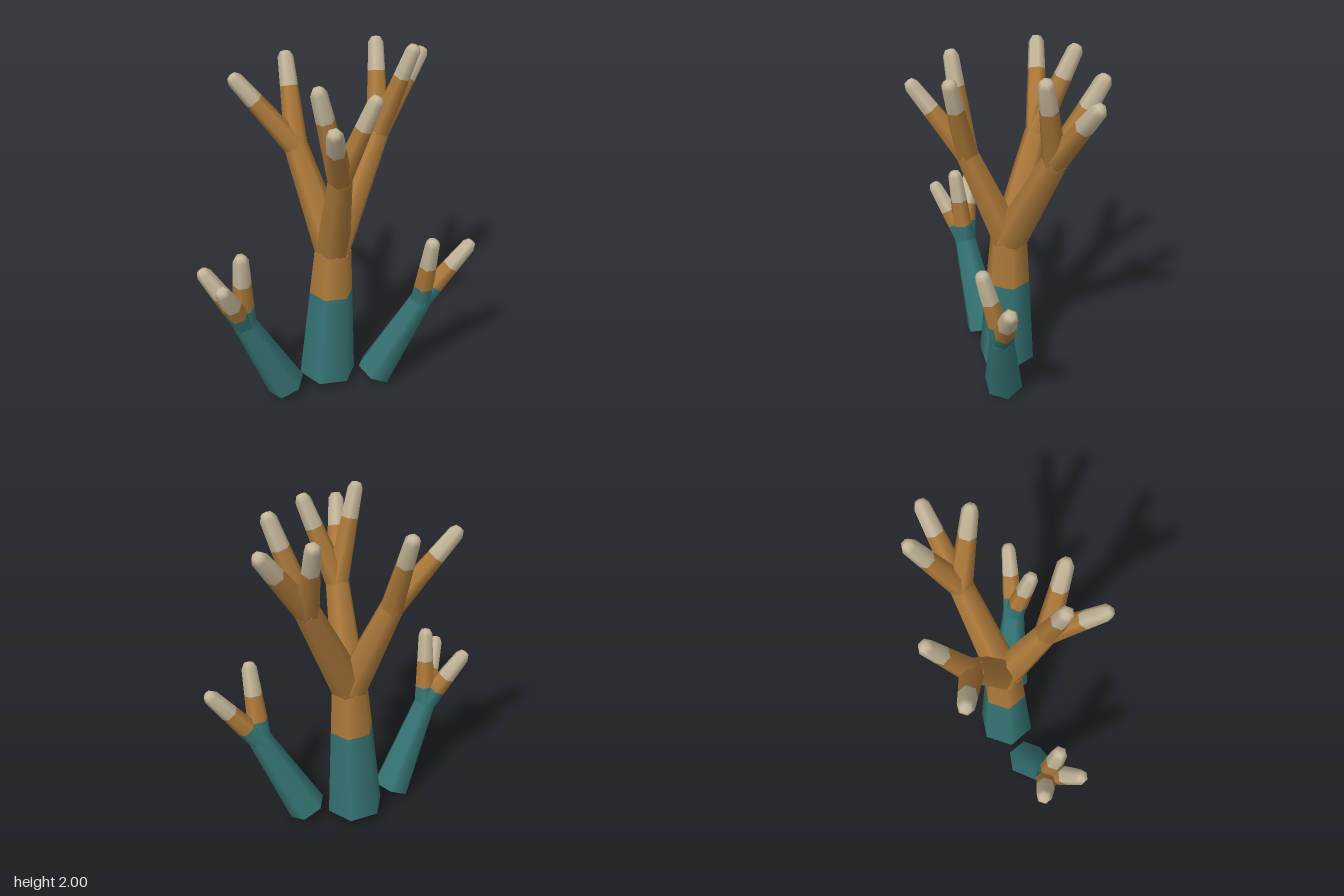
import * as THREE from 'three';

const SIDES = 6;
const UP = new THREE.Vector3(0, 1, 0);
const paint = (color) => new THREE.MeshStandardMaterial({ color, roughness: 0.9 });
const V = (p) => new THREE.Vector3(...p);

export function createModel() {
  const teal = paint(0x367474);
  const brown = paint(0xae7a3a);
  const cream = paint(0xc4b699);
  const model = new THREE.Group();
  model.name = 'coralCluster';

  // Place a geometry built along +y so it starts at a and points towards b
  function along(parent, name, geometry, material, a, b) {
    const mesh = new THREE.Mesh(geometry, material);
    mesh.name = name;
    mesh.position.copy(a);
    mesh.quaternion.setFromUnitVectors(UP, b.clone().sub(a).normalize());
    parent.add(mesh);
  }

  // Tapered six-sided limb from a to b
  function limb(parent, name, material, a, b, r0, r1) {
    const length = a.distanceTo(b);
    const geometry = new THREE.CylinderGeometry(r1, r0, length, SIDES).translate(0, length / 2, 0);
    along(parent, name, geometry, material, a, b);
  }

  // Small filler that closes the bend where limbs meet
  function knot(parent, material, p, r) {
    const mesh = new THREE.Mesh(new THREE.SphereGeometry(r, SIDES, 4), material);
    mesh.name = 'branchJoint';
    mesh.position.copy(p);
    parent.add(mesh);
  }

  // Twig: optional teal base, brown middle, pale rounded end
  function twig(parent, start, end, tealLength) {
    const length = start.distanceTo(end);
    const radius = (d) => THREE.MathUtils.lerp(0.066, 0.042, d / length);
    const at = (d) => start.clone().lerp(end, d / length);
    const pale = length - 0.19;
    if (tealLength) limb(parent, 'twigBase', teal, start, at(tealLength), radius(0), radius(tealLength));
    limb(parent, 'twig', brown, at(tealLength), at(pale), radius(tealLength), radius(pale));
    const profile = [[radius(pale), 0], [0.044, 0.158], [0.027, 0.187], [0, 0.193]]
      .map(([x, y]) => new THREE.Vector2(x, y));
    along(parent, 'twigTip', new THREE.LatheGeometry(profile, SIDES), cream, at(pale), end);
  }

  // Large central coral: two-tone trunk, three branches, eight twigs
  const main = new THREE.Group();
  main.name = 'largeCoral';
  model.add(main);
  const root = V([0.02, 0.05, -0.05]);
  const fork = V([0.05, 0.86, -0.035]);
  const band = root.clone().lerp(fork, 0.68);
  limb(main, 'trunkBase', teal, root, band, 0.165, 0.126);
  limb(main, 'trunk', brown, band, fork, 0.126, 0.107);
  knot(main, brown, fork, 0.1);
  const branches = [
    { end: [-0.08, 1.41, 0.15], twigs: [[-0.31, 1.81, 0.34], [-0.22, 1.95, 0.13], [0, 1.9, 0.33]] },
    { end: [0.01, 1.43, -0.28], twigs: [[-0.24, 1.85, -0.51], [0.11, 1.91, -0.47]] },
    { end: [0.39, 1.48, -0.03], twigs: [[0.48, 2, 0.14], [0.55, 1.95, -0.21], [0.71, 1.9, 0]] },
  ];
  for (const { end, twigs } of branches) {
    const tip = V(end);
    limb(main, 'branch', brown, fork, tip, 0.1, 0.068);
    knot(main, brown, tip, 0.064);
    for (const t of twigs) twig(main, tip, V(t), 0);
  }

  // Two small leaning corals
  const small = [
    { name: 'smallCoralRight', root: [-0.25, 0.05, -0.12], fork: [-0.49, 0.55, -0.18],
      twigs: [[-0.695, 0.89, -0.11], [-0.64, 0.89, -0.35], [-0.53, 1.02, -0.14]] },
    { name: 'smallCoralLeft', root: [0.215, 0.05, 0.155], fork: [0.395, 0.55, 0.335],
      twigs: [[0.35, 1, 0.44], [0.625, 0.91, 0.495]] },
  ];
  for (const s of small) {
    const group = new THREE.Group();
    group.name = s.name;
    model.add(group);
    const top = V(s.fork);
    limb(group, 'stem', teal, V(s.root), top, 0.112, 0.068);
    knot(group, teal, top, 0.064);
    for (const t of s.twigs) twig(group, top, V(t), 0.12);
  }

  return model;
}
